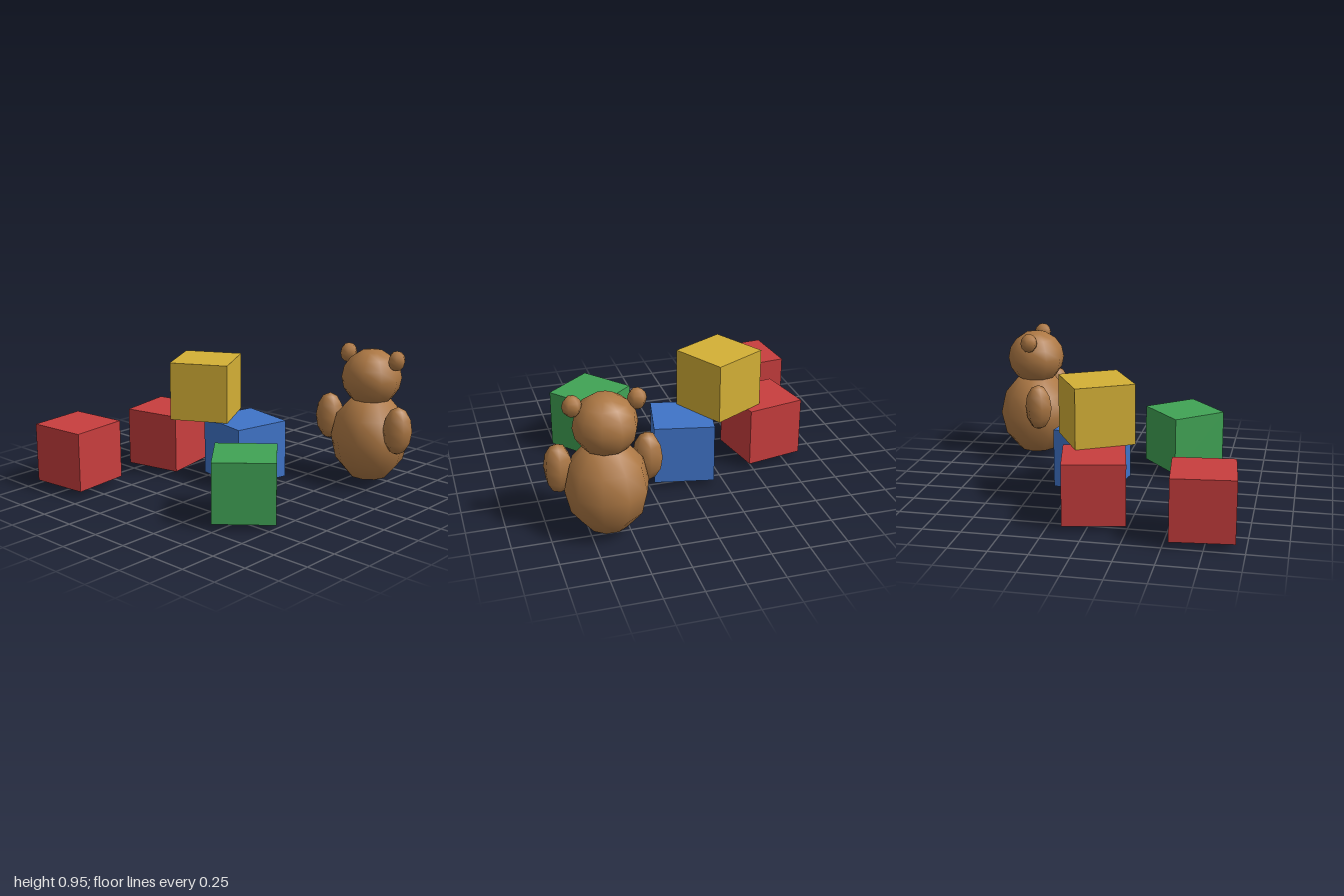
import * as THREE from 'three';

const mat = (name, color) => {
  const m = new THREE.MeshStandardMaterial({ color });
  m.name = name;
  return m;
};

export function createModel() {
  const red = mat('red', 0xc83e3e);
  const blue = mat('blue', 0x3f74c8);
  const green = mat('green', 0x40a355);
  const yellow = mat('yellow', 0xd4b036);
  const brown = mat('brown', 0xad7844);

  const model = new THREE.Group();
  model.name = 'toys';

  // Toy blocks: name, material, centre x, y, z, turn about y
  const cube = new THREE.BoxGeometry(0.4, 0.4, 0.4);
  const blocks = [
    ['frontRedBlock', red, -0.78, 0.24, 0.72, 0.1],
    ['backRedBlock', red, -0.635, 0.234, 0.013, 0.2],
    ['blueBlock', blue, -0.018, 0.233, -0.127, -0.2],
    ['greenBlock', green, 0.49, 0.235, 0.436, 0.7],
    ['yellowBlock', yellow, -0.302, 0.633, -0.04, 0.5],
  ];
  for (const [name, material, x, y, z, turn] of blocks) {
    const block = new THREE.Mesh(cube, material);
    block.name = name;
    block.position.set(x, y, z);
    block.rotation.y = turn;
    model.add(block);
  }

  // Seated bear, made of stretched low-segment balls with smooth normals
  const bear = new THREE.Group();
  bear.name = 'bear';
  bear.position.set(0.631, 0, -0.692);
  model.add(bear);

  const ball = (name, r, ry, sides, rings, x, y, z, turn = 0) => {
    const mesh = new THREE.Mesh(new THREE.SphereGeometry(1, sides, rings), brown);
    mesh.name = name;
    mesh.scale.set(r, ry, r);
    mesh.position.set(x, y, z);
    mesh.rotation.y = turn;
    bear.add(mesh);
  };
  ball('body', 0.267, 0.316, 10, 6, 0, 0.316, 0);
  ball('head', 0.204, 0.197, 10, 8, 0, 0.735, 0);
  for (const [side, s] of [['left', 1], ['right', -1]]) {
    ball(side + 'Ear', 0.062, 0.068, 6, 6, s * 0.198, 0.878, 0);
    ball(side + 'Arm', 0.097, 0.165, 6, 6, s * 0.283, 0.43, 0.086, Math.PI / 2);
  }
  return model;
}
